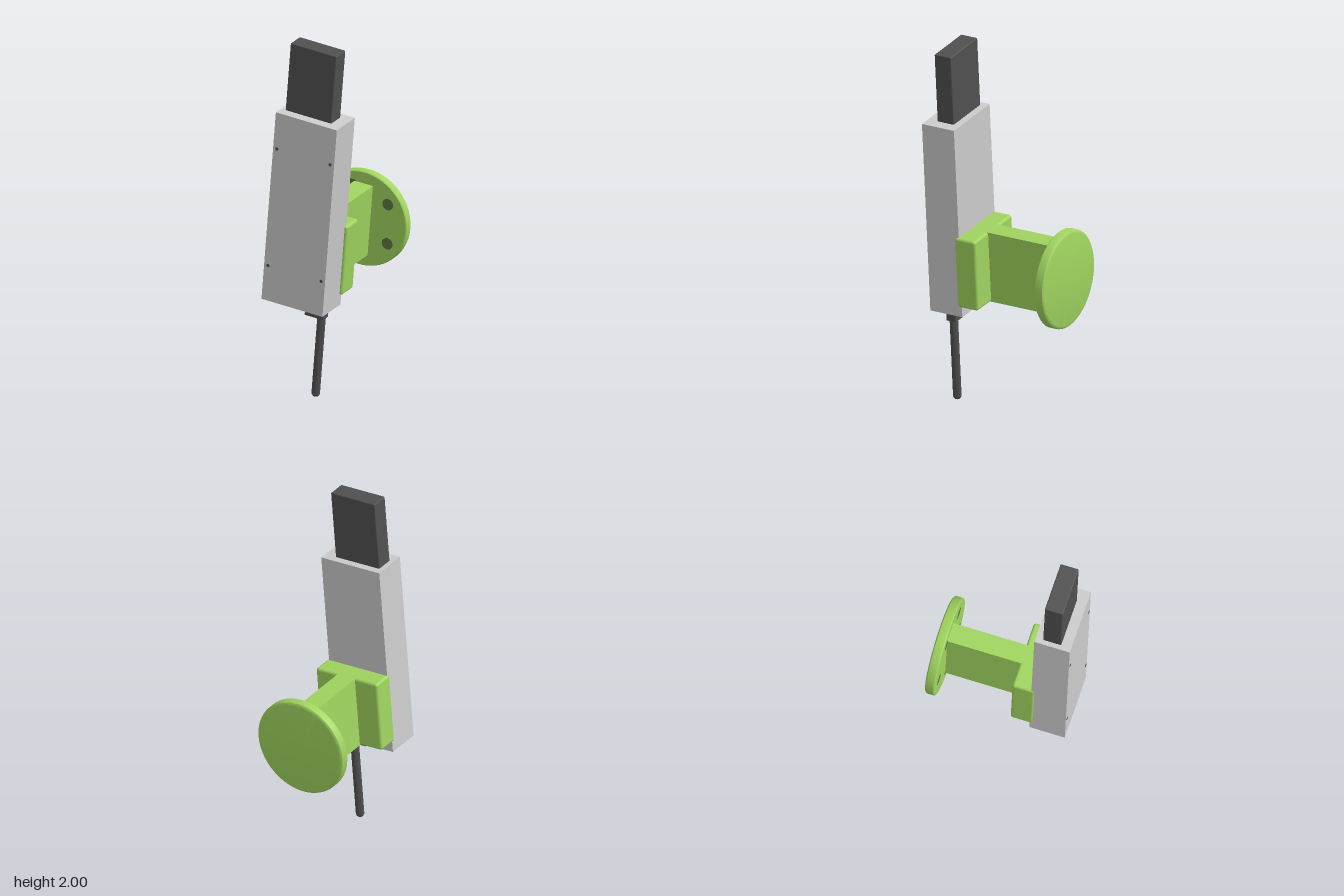
import * as THREE from 'three';
import { toCreasedNormals } from 'three/addons/utils/BufferGeometryUtils.js';
import { RoundedBoxGeometry } from 'three/addons/geometries/RoundedBoxGeometry.js';

const TILT = -0.08;

export function createModel() {
  const root = new THREE.Group();
  root.name = 'wallMountedActuator';

  const mat = (name, color) => {
    const m = new THREE.MeshStandardMaterial({ color });
    m.name = name;
    return m;
  };
  const silver = mat('lightGrey', 0xcccccc);
  const dark = mat('darkGrey', 0x505050);
  const green = mat('green', 0xa0d45f);
  const holeMat = mat('shadowGreen', 0x5b7440);

  const add = (parent, name, geometry, material, x, y, z) => {
    const mesh = new THREE.Mesh(geometry, material);
    mesh.name = name;
    mesh.position.set(x, y, z);
    parent.add(mesh);
    return mesh;
  };
  const lathe = (points, segments) => toCreasedNormals(
    new THREE.LatheGeometry(points.map(([r, y]) => new THREE.Vector2(r, y)), segments), 0.6);

  // Everything except the round wall plate leans slightly to one side
  const leaning = new THREE.Group();
  leaning.name = 'leaningAssembly';
  leaning.position.set(0.0125, 1.065, 0);
  leaning.rotation.z = TILT;
  root.add(leaning);

  // Housing with the flat bar rising out of its top
  add(leaning, 'housing', new THREE.BoxGeometry(0.366, 1.08, 0.195), silver, 0, 0, 0.278);
  add(leaning, 'slidingBar', new RoundedBoxGeometry(0.276, 0.527, 0.1, 2, 0.006), dark, -0.019, 0.6635, 0.27);

  // Small screws on the housing front
  for (const x of [-0.16, 0.16]) {
    for (const y of [0.335, -0.34]) {
      const screw = add(leaning, 'housingScrew', new THREE.CylinderGeometry(0.009, 0.009, 0.006, 12), dark, x, y, 0.3755);
      screw.rotation.x = Math.PI / 2;
    }
  }

  // Cable gland and rod below the housing
  add(leaning, 'rodCollar', new THREE.BoxGeometry(0.11, 0.07, 0.055), dark, 0.0935, -0.562, 0.272);
  add(leaning, 'rod', lathe([[0, -1.052], [0.014, -1.052], [0.0225, -1.04], [0.0225, -0.58], [0, -0.58]], 12),
    dark, 0.124, 0, 0.27);

  // Bracket block and neck behind the housing
  add(leaning, 'bracketBlock', new RoundedBoxGeometry(0.386, 0.4, 0.125, 3, 0.015), green, 0.005, -0.28, 0.1375);
  add(leaning, 'bracketNeck', new THREE.BoxGeometry(0.11, 0.4, 0.43), green, 0.005, -0.28, -0.125);

  // Round wall plate, its rear edge softened
  const plate = add(root, 'wallPlate', lathe([
    [0, -0.0275], [0.25, -0.0275], [0.258, -0.0255], [0.265, -0.02], [0.267, -0.013],
    [0.267, 0.022], [0.262, 0.0275], [0, 0.0275],
  ], 64), green, 0, 0.785, -0.3525);
  plate.rotation.x = Math.PI / 2;

  // Ring of mounting holes on the plate front
  for (let i = 0; i < 5; i++) {
    const a = THREE.MathUtils.degToRad(35 + i * 72);
    add(root, 'mountingHole', new THREE.CircleGeometry(0.032, 24), holeMat,
      0.19 * Math.cos(a), 0.785 + 0.19 * Math.sin(a), -0.3235);
  }

  return root;
}
